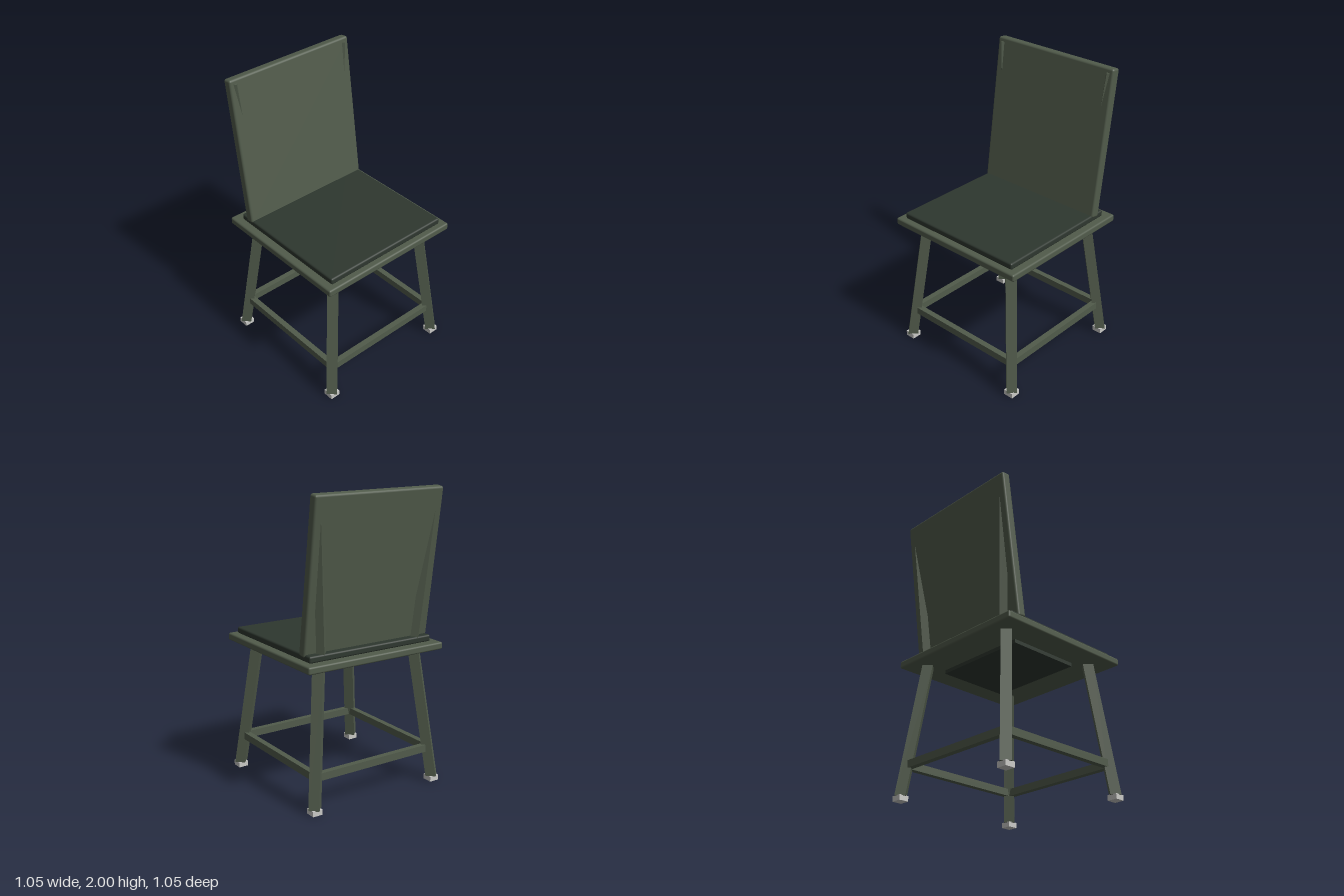
import * as THREE from 'three';
import { RoundedBoxGeometry } from 'three/addons/geometries/RoundedBoxGeometry.js';

const mat = (name, color) => {
  const m = new THREE.MeshStandardMaterial({ color });
  m.name = name;
  return m;
};

export function createModel() {
  const group = new THREE.Group();
  const frame = mat('green frame', 0x515b4b);
  const pad = mat('dark green pad', 0x2e372f);
  const glide = mat('pale grey glide', 0xc9c9c6);

  const add = (name, geometry, material, x, y, z) => {
    const mesh = new THREE.Mesh(geometry, material);
    mesh.name = name;
    mesh.position.set(x, y, z);
    group.add(mesh);
    return mesh;
  };
  const slab = (w, h, d, r) => new RoundedBoxGeometry(w, h, d, 2, r);

  // Square bar set cornerwise, sheared so its ends stay level
  const bar = (name, r, bottom, top) => {
    const h = top[1] - bottom[1];
    const g = new THREE.CylinderGeometry(r, r, h, 4).toNonIndexed();
    const p = g.attributes.position;
    for (let i = 0; i < p.count; i++) {
      const t = p.getY(i) / h + 0.5;
      p.setXYZ(i,
        p.getX(i) + bottom[0] + (top[0] - bottom[0]) * t,
        bottom[1] + h * t,
        p.getZ(i) + bottom[2] + (top[2] - bottom[2]) * t);
    }
    g.computeVertexNormals();
    add(name, g, frame, 0, 0, 0);
  };

  // Seat board, cushion and the panel beneath
  add('seat', slab(1.05, 0.05, 1.017, 0.012), frame, 0, 0.945, 0.011);
  add('seatCushion', slab(0.95, 0.045, 0.91, 0.012), pad, 0, 0.9905, 0.025);
  add('underPanel', new THREE.BoxGeometry(0.67, 0.035, 0.52), pad, 0, 0.9125, 0);

  // Splayed legs with glides
  for (const sx of [-1, 1]) {
    for (const sz of [-1, 1]) {
      bar('leg', 0.049, [sx * 0.475, 0.033, sz * 0.475], [sx * 0.375, 0.93, sz * 0.375]);
      add('footGlide', new THREE.BoxGeometry(0.07, 0.036, 0.07), glide, sx * 0.475, 0.018, sz * 0.475);
    }
  }

  // Stretchers
  for (const s of [-1, 1]) {
    add('crossStretcher', new THREE.BoxGeometry(0.9, 0.05, 0.04), frame, 0, 0.235, s * 0.452);
    add('sideStretcher', new THREE.BoxGeometry(0.04, 0.05, 0.9), frame, s * 0.452, 0.235, 0);
  }

  // Reclined back panel with its two posts
  const back = add('backrest', slab(0.964, 1.011, 0.065, 0.015), frame, 0, 1.495, -0.412);
  back.rotation.x = -THREE.MathUtils.degToRad(8);
  for (const s of [-1, 1]) {
    bar('backPost', 0.036, [s * 0.365, 0.96, -0.39], [s * 0.442, 1.97, -0.468]);
  }
  return group;
}
